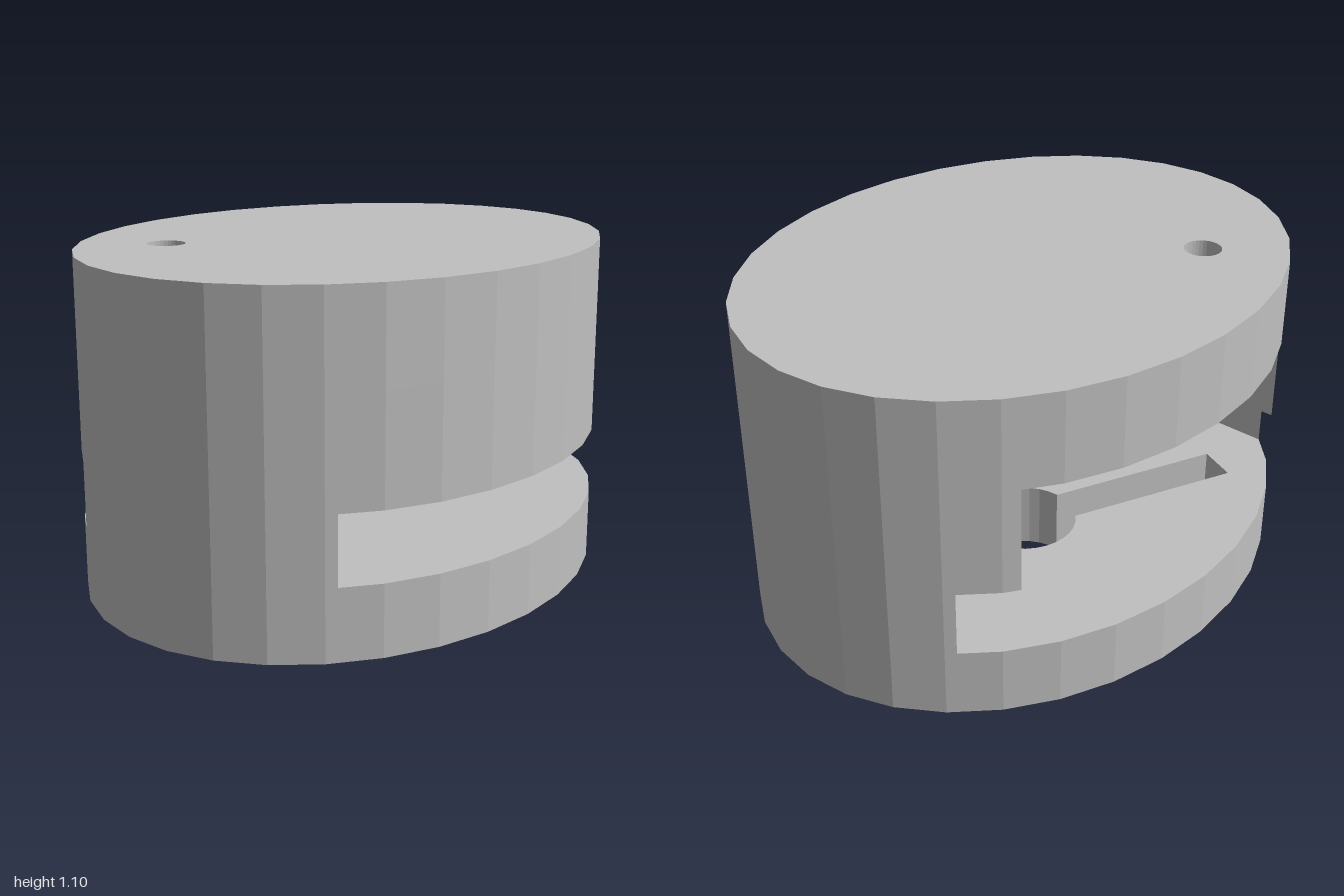
import * as THREE from 'three';

const V = (x, z) => new THREE.Vector2(x, z); // plan coordinates (x, z)

// Keep the part of a polygon where f(point) >= 0 (f is linear)
function clip(points, f) {
  const out = [];
  points.forEach((a, i) => {
    const b = points[(i + 1) % points.length], fa = f(a), fb = f(b);
    if (fa >= 0) out.push(a);
    if (fa * fb < 0) out.push(a.clone().lerp(b, fa / (fa - fb)));
  });
  return out;
}

function circle(x, z, r, n = 32) {
  return Array.from({ length: n }, (_, i) => {
    const t = (i / n) * Math.PI * 2;
    return V(x + r * Math.cos(t), z + r * Math.sin(t));
  });
}

// Upright wall round a closed outline; counter-clockwise outlines face inwards
function wall(points, y0, y1) {
  const pos = [];
  points.forEach((a, i) => {
    const b = points[(i + 1) % points.length];
    pos.push(a.x, y0, a.y, b.x, y0, b.y, b.x, y1, b.y);
    pos.push(a.x, y0, a.y, b.x, y1, b.y, a.x, y1, a.y);
  });
  const g = new THREE.BufferGeometry();
  g.setAttribute('position', new THREE.Float32BufferAttribute(pos, 3));
  g.computeVertexNormals();
  return g;
}

const solidWall = (points, y0, y1) => wall([...points].reverse(), y0, y1);

// Level face, looking up or down
function face(points, holes, y, up) {
  const s = up ? -1 : 1;
  const flat = (list) => list.map((p) => V(p.x, p.y * s));
  const shape = new THREE.Shape(flat(points));
  shape.holes = holes.map((h) => new THREE.Path(flat(h)));
  return new THREE.ShapeGeometry(shape).rotateX((s * Math.PI) / 2).translate(0, y, 0);
}

export function createModel() {
  const group = new THREE.Group();
  const grey = new THREE.MeshStandardMaterial({ color: 0xc0c0c0 });
  grey.name = 'grey';
  const add = (name, ...geometries) => {
    const part = new THREE.Group();
    part.name = name;
    geometries.forEach((g) => part.add(new THREE.Mesh(g, grey)));
    group.add(part);
  };

  // Levels: slot floor, slot top, pocket ceiling, recess top, overall top
  const [yFloor, ySlot, yPocket, yRecess, yTop] = [0.23, 0.45, 0.8, 0.98, 1.1];
  const slotZ = 0.805, pocketZ = 0.66, pocketX = -0.08;

  // Oval body outline, starting at -x
  const oval = Array.from({ length: 32 }, (_, i) => {
    const t = -Math.PI + (i * Math.PI) / 16;
    return V(0.8 * Math.cos(t), Math.sin(t));
  });
  const between = (points) => clip(clip(points, (p) => slotZ - p.y), (p) => p.y + slotZ);

  // Keyhole: round hole with a straight slot running out of it
  const centre = V(-0.15, -0.15), u = V(-0.385, 0.923), v = V(-0.923, -0.385);
  const local = (a, b) => centre.clone().addScaledVector(u, a).addScaledVector(v, b);
  const r = 0.18, half = 0.07, t0 = Math.asin(half / r);
  const keyhole = [];
  for (let i = 0; i <= 28; i++) {
    const t = t0 + (i / 28) * (2 * Math.PI - 2 * t0);
    keyhole.push(local(r * Math.cos(t), r * Math.sin(t)));
  }
  keyhole.push(local(0.778, -half), local(0.778, half));

  // U-shaped pocket, open towards -x
  const mouthX = -Math.max(...clip(oval, (p) => p.y - pocketZ).map((p) => p.x));
  const inMouth = (p) => p.x < 0 && Math.abs(p.y) < pocketZ;
  const pocketPath = [V(mouthX, pocketZ)];
  for (let i = 0; i <= 24; i++) {
    const t = Math.PI / 2 - (i / 24) * Math.PI;
    pocketPath.push(V(pocketX + pocketZ * Math.cos(t), pocketZ * Math.sin(t)));
  }
  pocketPath.push(V(mouthX, -pocketZ));
  const pocketRing = [...oval.filter((p) => !inMouth(p)), ...pocketPath];
  const mouth = oval.filter(inMouth).sort((a, b) => a.y - b.y);
  const pocketArea = [...pocketPath, ...mouth];

  const pinHole = circle(-0.4, 0.45, 0.0625);
  const recess = circle(-0.15, -0.15, 0.25);

  // Base disc with the keyhole
  add('base',
    face(oval, [keyhole], 0, false),
    solidWall(oval, 0, yFloor),
    face(between(oval), [keyhole], yFloor, true));
  add('keyhole', wall(keyhole, 0, yFloor));

  // Solid ends either side of the cross slot
  [1, -1].forEach((s) => add(s > 0 ? 'frontSlotEnd' : 'backSlotEnd',
    solidWall(clip(oval, (p) => s * p.y - slotZ), yFloor, ySlot)));

  // Body around the pocket
  add('pocketBody',
    face(between(pocketRing), [], ySlot, false),
    solidWall(pocketRing, ySlot, yPocket),
    face(pocketArea, [pinHole, recess], yPocket, false));

  // Top with the pin hole and blind recess
  add('top', solidWall(oval, yPocket, yTop), face(oval, [pinHole], yTop, true));
  add('pinHole', wall(pinHole, yPocket, yTop));
  add('recess', wall(recess, yPocket, yRecess), face(recess, [], yRecess, false));

  return group;
}
